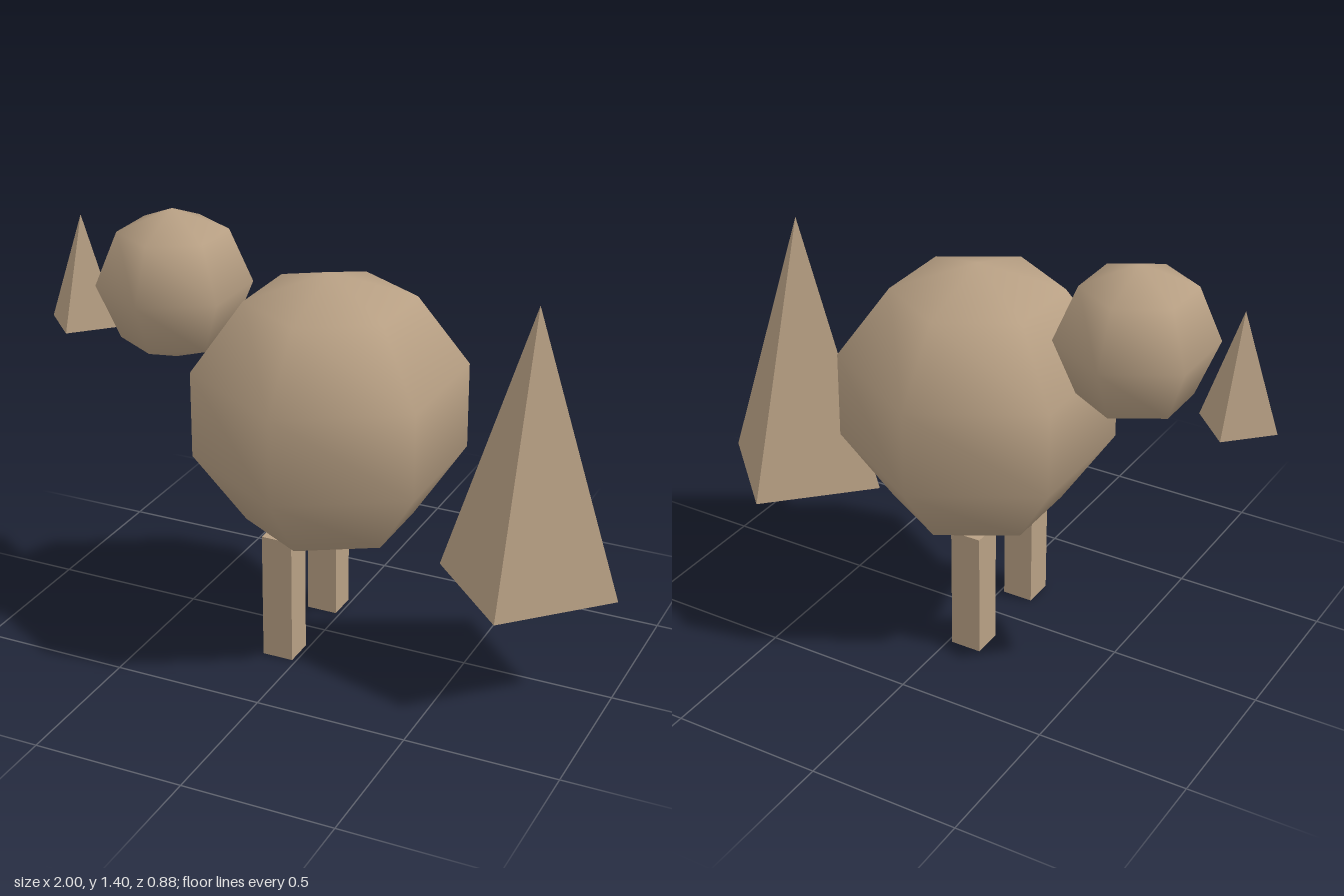
import * as THREE from 'three';

export function createModel() {
  const group = new THREE.Group();
  const smooth = new THREE.MeshStandardMaterial({ color: 0xb8a084 });
  const flat = new THREE.MeshStandardMaterial({ color: 0xb8a084, flatShading: true });

  const add = (name, geometry, material, x, y, z = 0) => {
    const mesh = new THREE.Mesh(geometry, material);
    mesh.name = name;
    mesh.position.set(x, y, z);
    group.add(mesh);
  };

  // Six-sided balls with a corner pointing to the front and back
  const ball = (radius, rings) => new THREE.SphereGeometry(radius, 6, rings).rotateY(Math.PI / 2);
  add('body', ball(0.465, 5), smooth, 0.02, 0.81);
  add('head', ball(0.253, 4), smooth, -0.533, 1.151);

  // Four-sided pyramids, corners on the x and z axes
  add('beak', new THREE.ConeGeometry(0.126, 0.37, 4), flat, -0.874, 1.15);
  add('tail', new THREE.ConeGeometry(0.297, 0.93, 4), flat, 0.703, 0.81);

  // Pair of legs reaching just into the body
  for (const side of [1, -1]) {
    add(side > 0 ? 'frontLeg' : 'backLeg', new THREE.BoxGeometry(0.104, 0.43, 0.104), flat, -0.066, 0.215, side * 0.17);
  }
  return group;
}
